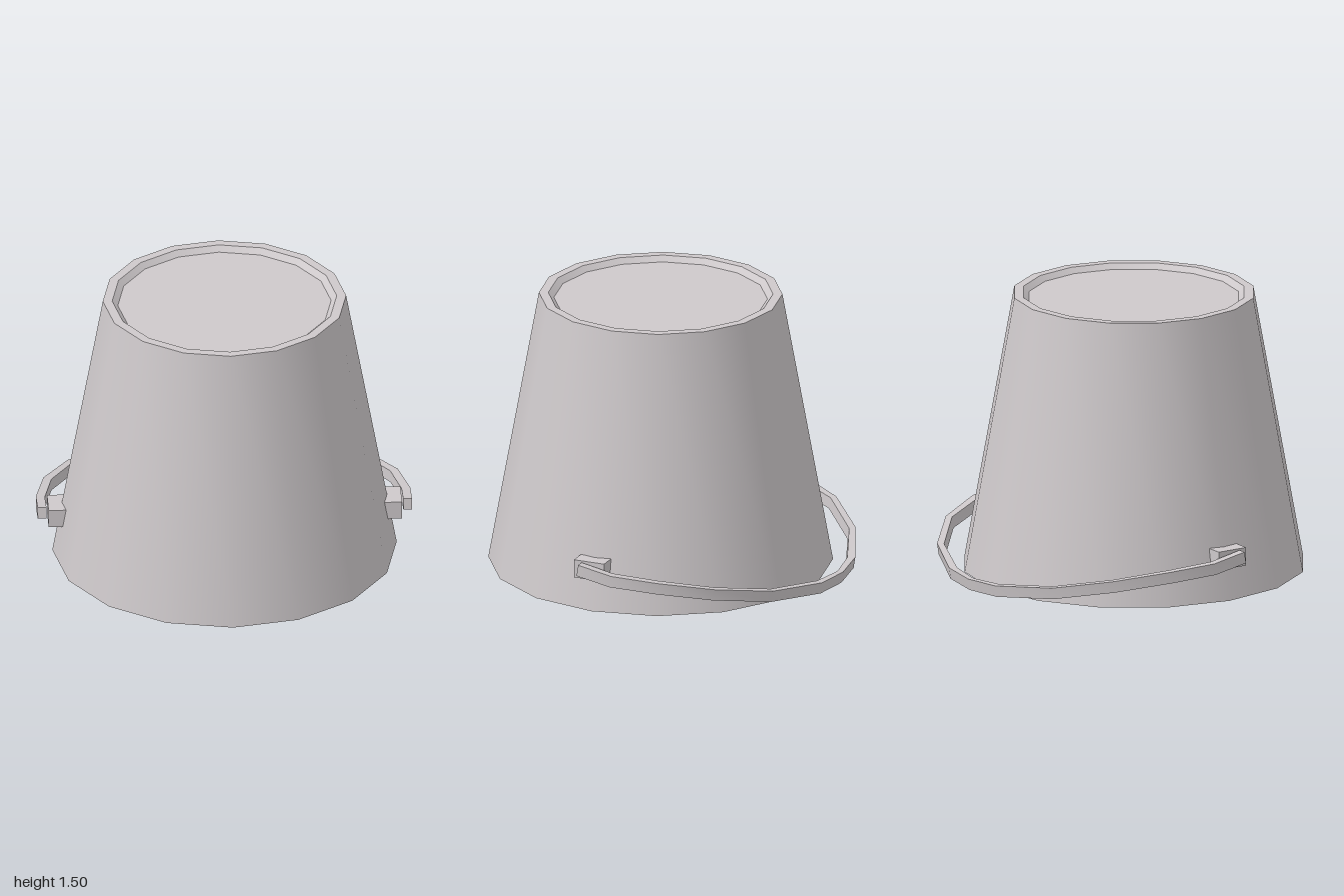
import * as THREE from 'three';

const CZ = 0.065; // bucket axis in z

// Lathe whose profile corners stay sharp: one smooth band per profile segment
function sharpLathe(name, profile, sides, material) {
  const group = new THREE.Group();
  group.name = name;
  for (let i = 0; i < profile.length - 1; i++) {
    const pts = [profile[i], profile[i + 1]].map(([r, y]) => new THREE.Vector2(r, y));
    const mesh = new THREE.Mesh(new THREE.LatheGeometry(pts, sides), material);
    mesh.name = `${name}Band${i + 1}`;
    group.add(mesh);
  }
  return group;
}

// Rectangular bar swept through sections; each of the four sides is its own smooth strip
function barGeometry(sections) {
  const pos = [], idx = [];
  for (let side = 0; side < 4; side++) {
    const start = pos.length / 3;
    sections.forEach((corners) => {
      pos.push(...corners[side], ...corners[(side + 1) % 4]);
    });
    for (let i = 0; i < sections.length - 1; i++) {
      const a = start + i * 2;
      idx.push(a, a + 1, a + 2, a + 1, a + 3, a + 2);
    }
  }
  // end caps
  [[sections[0], false], [sections[sections.length - 1], true]].forEach(([corners, flip]) => {
    const s = pos.length / 3;
    corners.forEach((c) => pos.push(...c));
    if (flip) idx.push(s, s + 1, s + 2, s, s + 2, s + 3);
    else idx.push(s, s + 2, s + 1, s, s + 3, s + 2);
  });
  const g = new THREE.BufferGeometry();
  g.setAttribute('position', new THREE.Float32BufferAttribute(pos, 3));
  g.setIndex(idx);
  g.computeVertexNormals();
  return g;
}

export function createModel() {
  const model = new THREE.Group();
  model.name = 'upturnedBucket';
  const metal = new THREE.MeshStandardMaterial({ color: 0xcdc8ca });
  metal.name = 'paleGreyMetal';

  // Bucket shell: outer wall, foot ring, recessed base, inside base, inner wall, lip
  const shell = sharpLathe('bucketShell', [
    [0.92, 0], [0.65, 1.5], [0.6, 1.5], [0.57, 1.472], [0, 1.472],
  ], 16, metal);
  const inside = sharpLathe('bucketInside', [
    [0, 1.41], [0.55, 1.41], [0.79, 0], [0.92, 0],
  ], 16, metal);
  [shell, inside].forEach((part) => {
    part.position.z = CZ;
    model.add(part);
  });

  // Handle lugs sunk into the wall
  [['left', 1], ['right', -1]].forEach(([side, s]) => {
    const lug = new THREE.Mesh(new THREE.BoxGeometry(0.1, 0.1, 0.175), metal);
    lug.name = `${side}HandleLug`;
    lug.position.set(s * 0.894, 0.237, 0.0675);
    model.add(lug);
  });

  // Handle half: outer x, outer z, inner x, inner z, centre height
  const half = [
    [1.0, 0.112, 0.953, 0.112, 0.25],
    [1.0, -0.08, 0.953, -0.07, 0.214],
    [0.947, -0.33, 0.905, -0.31, 0.192],
    [0.803, -0.6, 0.77, -0.582, 0.149],
    [0.55, -0.825, 0.52, -0.8, 0.09],
    [0.22, -0.968, 0.2, -0.93, 0.05],
  ];
  const path = [
    ...half,
    [0, -0.993, 0, -0.96, 0.042],
    ...half.map(([ox, oz, ix, iz, y]) => [-ox, oz, -ix, iz, y]).reverse(),
  ];
  const h = 0.031, lean = 0.005;
  const sections = path.map(([ox, oz, ix, iz, y]) => [
    [ox, y - h, oz + lean],
    [ox, y + h, oz - lean],
    [ix, y + h, iz - lean],
    [ix, y - h, iz + lean],
  ]);
  const handle = new THREE.Mesh(barGeometry(sections), metal);
  handle.name = 'handle';
  model.add(handle);

  // winding check for the sweep: outer side of the first section must face +x
  if (handle.geometry.attributes.normal.getX(0) < 0) {
    const index = handle.geometry.index;
    for (let i = 0; i < index.count; i += 3) {
      const t = index.getX(i);
      index.setX(i, index.getX(i + 1));
      index.setX(i + 1, t);
    }
    handle.geometry.computeVertexNormals();
  }
  return model;
}
